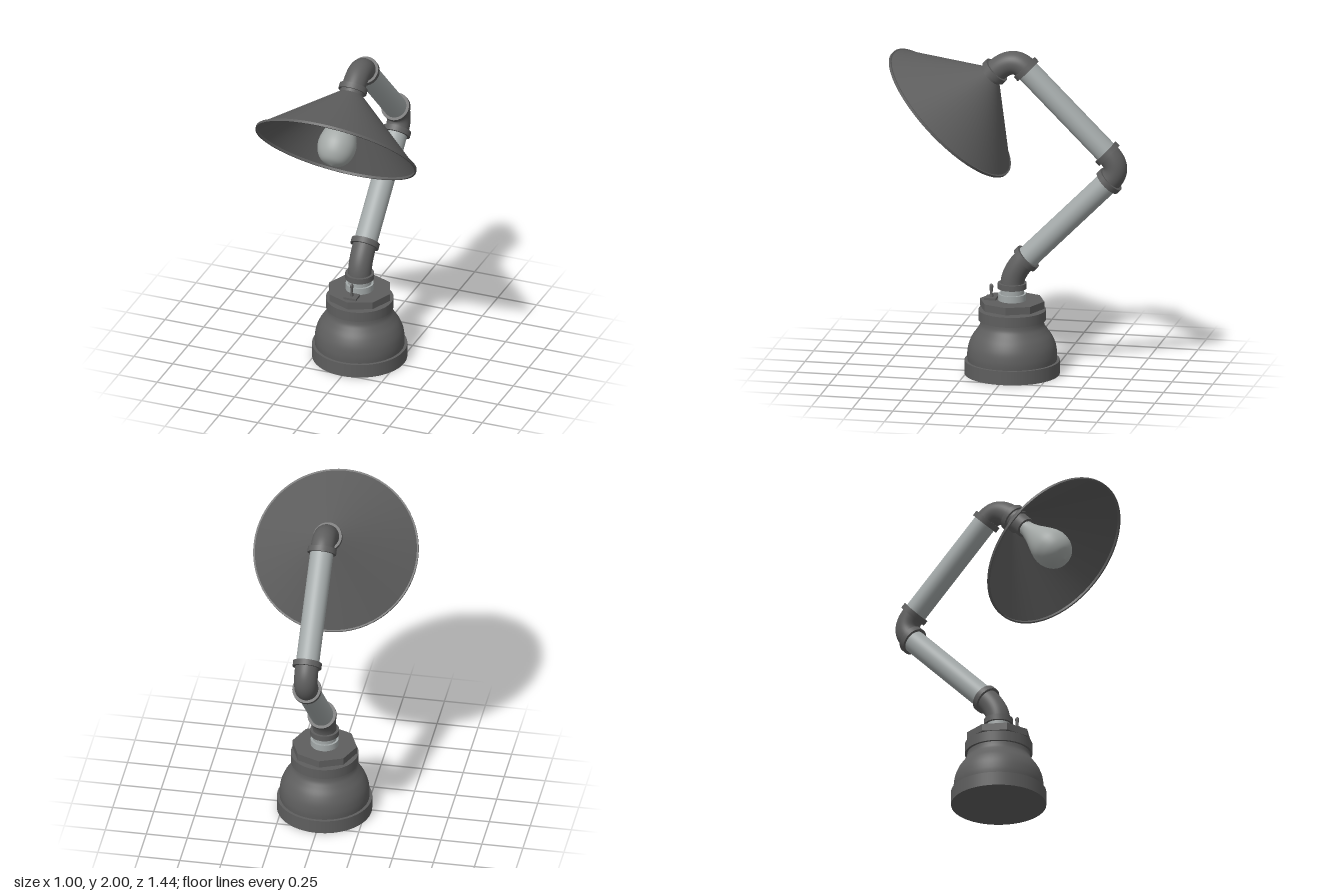
import * as THREE from 'three';

const darkMetal = new THREE.MeshStandardMaterial({ name: 'darkMetal', color: 0x5e5e5e });
const shadeMetal = new THREE.MeshStandardMaterial({ name: 'shadeMetal', color: 0x5e5e5e, side: THREE.DoubleSide });
const paleMetal = new THREE.MeshStandardMaterial({ name: 'paleMetal', color: 0xa3a9a9 });
const bulbGlass = new THREE.MeshStandardMaterial({ name: 'bulbGlass', color: 0xa3a8a6 });

const UP = new THREE.Vector3(0, 1, 0);
const BASE_Z = -0.02;
const at = (y, z) => new THREE.Vector3(0, y, z);

export function createModel() {
  const model = new THREE.Group();
  model.name = 'pipeLamp';

  const add = (name, geometry, material, parent = model) => {
    const mesh = new THREE.Mesh(geometry, material);
    mesh.name = name;
    parent.add(mesh);
    return mesh;
  };
  // Revolved part; repeated points keep an edge sharp
  const lathe = (points, segments = 48) =>
    new THREE.LatheGeometry(points.map(([r, y]) => new THREE.Vector2(r, y)), segments);
  const cylinder = (name, r, y0, y1, material, sides = 40) => {
    const mesh = add(name, new THREE.CylinderGeometry(r, r, y1 - y0, sides), material);
    mesh.position.set(0, (y0 + y1) / 2, BASE_Z);
    return mesh;
  };
  const aim = (object, position, direction) => {
    object.position.copy(position);
    object.quaternion.setFromUnitVectors(UP, direction.clone().normalize());
  };
  const pipe = (name, a, b, r) => {
    const mesh = add(name, new THREE.CylinderGeometry(r, r, a.distanceTo(b), 40), paleMetal);
    aim(mesh, a.clone().lerp(b, 0.5), b.clone().sub(a));
  };
  // Elbow fitting with a ring at each end
  const elbow = (name, a, corner, b) => {
    const group = new THREE.Group();
    group.name = name;
    const curve = new THREE.QuadraticBezierCurve3(a, corner, b);
    add('elbowBend', new THREE.TubeGeometry(curve, 24, 0.071, 40), darkMetal, group);
    for (const end of [a, b]) {
      const ring = add('elbowRing', new THREE.CylinderGeometry(0.087, 0.087, 0.034, 40), darkMetal, group);
      aim(ring, end, end.clone().sub(corner));
    }
    model.add(group);
  };

  // Bell-shaped base: foot, body, collar
  cylinder('baseFoot', 0.286, 0, 0.085, darkMetal, 64);
  const bell = new THREE.SplineCurve([
    [0.268, 0.08], [0.27, 0.125], [0.262, 0.18], [0.241, 0.23],
    [0.212, 0.272], [0.193, 0.305], [0.187, 0.345],
  ].map(([r, y]) => new THREE.Vector2(r, y)));
  add('baseBody', new THREE.LatheGeometry(bell.getPoints(28), 64), darkMetal).position.z = BASE_Z;
  cylinder('baseCollar', 0.203, 0.335, 0.397, darkMetal, 64);
  cylinder('nutSpacer', 0.09, 0.39, 0.415, darkMetal);

  // Octagonal nut
  const nutGeometry = new THREE.CylinderGeometry(0.197, 0.197, 0.045, 8).toNonIndexed();
  nutGeometry.computeVertexNormals();
  cylinder('octagonNut', 0.197, 0.41, 0.455, darkMetal, 8).geometry = nutGeometry;

  // Pipe stub above the nut
  cylinder('stubSleeve', 0.084, 0.45, 0.495, paleMetal);
  cylinder('stubPipe', 0.071, 0.49, 0.54, paleMetal);

  // Toggle switch
  const toggle = new THREE.Group();
  toggle.name = 'toggleSwitch';
  toggle.position.set(0, 0.455, 0.108);
  add('switchPlate', new THREE.BoxGeometry(0.08, 0.016, 0.07), darkMetal, toggle).position.y = 0.005;
  const lever = add('switchLever', lathe([
    [0.012, 0], [0.012, 0.025], [0.007, 0.03], [0.012, 0.07], [0.012, 0.083], [0.008, 0.091], [0, 0.094],
  ], 16), darkMetal, toggle);
  lever.scale.x = 0.75;
  model.add(toggle);

  // Jointed arm
  const lowStart = at(0.545, BASE_Z), lowEnd = at(0.717, -0.107);
  const midStart = at(1.226, -0.614), midEnd = at(1.396, -0.604);
  const topStart = at(1.893, -0.106), topEnd = at(1.867, 0.087);
  elbow('lowerElbow', lowStart, at(0.63, BASE_Z), lowEnd);
  pipe('lowerArm', lowEnd, midStart, 0.07);
  elbow('middleElbow', midStart, at(1.308, -0.696), midEnd);
  pipe('upperArm', midEnd, topStart, 0.07);
  elbow('upperElbow', topStart, at(1.976, -0.024), topEnd);

  // Lamp head: local +y points down and forward
  const head = new THREE.Group();
  head.name = 'lampHead';
  aim(head, at(1.843, 0.113), at(-1, 1));
  model.add(head);
  const neck = add('headNeck', new THREE.CylinderGeometry(0.074, 0.074, 0.05, 40), darkMetal, head);
  neck.position.y = -0.015;
  add('shade', lathe([[0.074, 0], [0.496, 0.35]], 72), shadeMetal, head);
  add('shadeRim', lathe([
    [0.49, 0.345], [0.5, 0.345], [0.5, 0.345], [0.5, 0.36], [0.5, 0.36],
    [0.49, 0.36], [0.49, 0.36], [0.49, 0.345],
  ], 72), shadeMetal, head);

  // Socket and bulb
  const socket = add('bulbSocket', new THREE.CylinderGeometry(0.062, 0.062, 0.075, 32), darkMetal, head);
  socket.position.y = 0.04;
  const bulb = new THREE.SplineCurve([
    [0.045, 0.07], [0.05, 0.11], [0.068, 0.17], [0.094, 0.235], [0.113, 0.295],
    [0.116, 0.345], [0.1, 0.4], [0.063, 0.441], [0, 0.459],
  ].map(([r, y]) => new THREE.Vector2(r, y)));
  add('bulb', new THREE.LatheGeometry(bulb.getPoints(36), 40), bulbGlass, head);

  return model;
}
